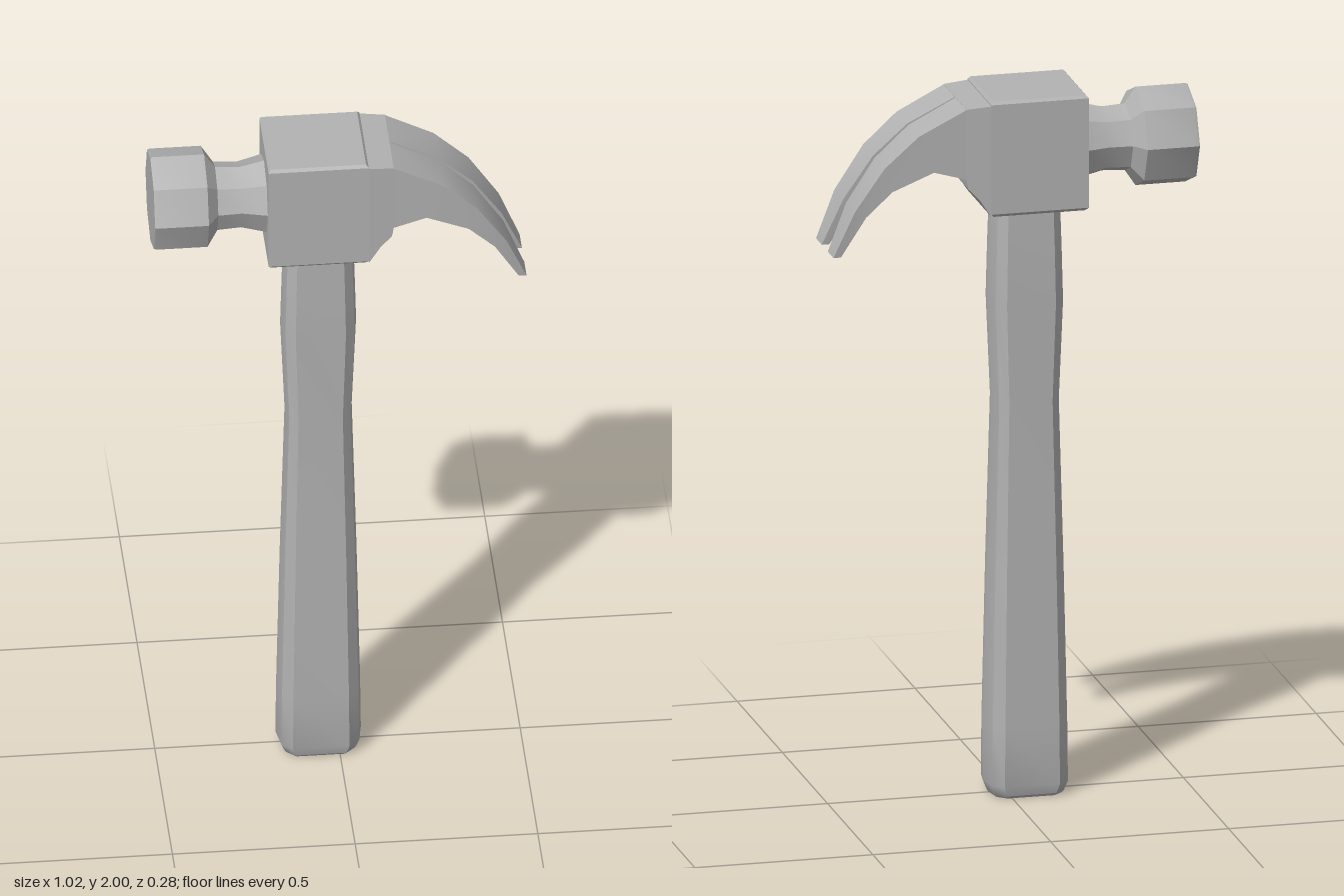
import * as THREE from 'three';
import { toCreasedNormals } from 'three/addons/utils/BufferGeometryUtils.js';

const steel = new THREE.MeshStandardMaterial({ color: 0xb2b2b2 });
steel.name = 'grey';

// Skin a row of closed rings and cap both ends; faces always end up pointing outwards.
function loft(rings, crease) {
  const tris = [];
  const n = rings[0].length;
  for (let i = 0; i < rings.length - 1; i++) {
    for (let j = 0; j < n; j++) {
      const k = (j + 1) % n;
      const [a, b, c, d] = [rings[i][j], rings[i][k], rings[i + 1][k], rings[i + 1][j]];
      tris.push([a, b, c], [a, c, d]);
    }
  }
  const last = rings[rings.length - 1];
  for (let j = 1; j < n - 1; j++) {
    tris.push([rings[0][0], rings[0][j + 1], rings[0][j]], [last[0], last[j], last[j + 1]]);
  }
  let volume = 0;
  for (const [a, b, c] of tris) volume += a.dot(b.clone().cross(c));
  if (volume < 0) tris.forEach((t) => t.reverse());
  const geometry = new THREE.BufferGeometry().setFromPoints(tris.flat());
  geometry.computeVertexNormals();
  return toCreasedNormals(geometry, crease);
}

const v = (x, y, z) => new THREE.Vector3(x, y, z);

export function createModel() {
  const hammer = new THREE.Group();
  hammer.name = 'clawHammer';
  const add = (name, geometry) => {
    const mesh = new THREE.Mesh(geometry, steel);
    mesh.name = name;
    hammer.add(mesh);
  };

  // Handle: faceted oval section, pinched at the waist; [y, half width x, half depth z]
  const section = [
    [1, 0], [0.91, 0.7], [0.66, 1], [-0.66, 1], [-0.91, 0.7],
    [-1, 0], [-0.91, -0.7], [-0.66, -1], [0.66, -1], [0.91, -0.7],
  ];
  const handle = [
    [0, 0.1, 0.075], [0.008, 0.106, 0.082], [0.035, 0.117, 0.09], [0.2, 0.115, 0.09],
    [0.65, 0.105, 0.083], [1.12, 0.092, 0.074], [1.4, 0.104, 0.08], [1.55, 0.1, 0.078], [1.7, 0.095, 0.074],
  ];
  add('handle', loft(handle.map(([y, rx, rz]) =>
    section.map(([sx, sz]) => v(-0.053 + sx * rx, y, sz * rz))), 0.4));

  // Head block with small chamfers along its top and bottom; [y, inset]
  const block = [[1.672, 0.009], [1.681, 0], [1.992, 0], [2, 0.007]];
  add('headBlock', loft(block.map(([y, inset]) => {
    const x0 = -0.201 + inset, x1 = 0.073 - inset, z = 0.132 - inset;
    return [v(x0, y, -z), v(x1, y, -z), v(x1, y, z), v(x0, y, z)];
  }), 0.3));

  // Octagonal neck and striking face; [x, radius]
  const poll = [
    [-0.512, 0.137], [-0.505, 0.14], [-0.365, 0.14], [-0.335, 0.095],
    [-0.27, 0.091], [-0.198, 0.109],
  ];
  add('neckAndStrikingFace', loft(poll.map(([x, r]) =>
    Array.from({ length: 8 }, (_, i) => {
      const a = (i * Math.PI) / 4;
      return v(x, 1.835 + r * Math.cos(a), r * Math.sin(a));
    })), 0.45));

  // Solid root of the claw, tapering slightly away from the block
  const profile = [
    [0.07, 1.989], [0.142, 1.983], [0.142, 1.785], [0.137, 1.757], [0.106, 1.725], [0.074, 1.676],
  ];
  add('clawRoot', loft([-1, 1].map((side) =>
    profile.map(([x, y]) => v(x, y, side * (0.132 - (x - 0.07) * 0.07)))), 0.3));

  // Two curved prongs; [top x, top y, bottom x, bottom y, inner z, outer z]
  const claw = [
    [0.14, 1.983, 0.14, 1.784, 0.003, 0.127],
    [0.275, 1.915, 0.232, 1.81, 0.006, 0.124],
    [0.37, 1.83, 0.348, 1.762, 0.01, 0.12],
    [0.452, 1.71, 0.42, 1.693, 0.016, 0.113],
    [0.508, 1.58, 0.487, 1.58, 0.033, 0.097],
  ];
  for (const side of [1, -1]) {
    add(side > 0 ? 'frontProng' : 'backProng', loft(claw.map(([tx, ty, bx, by, zi, zo]) => [
      v(tx, ty, side * zi), v(tx, ty, side * zo), v(bx, by, side * zo), v(bx, by, side * zi),
    ]), 0.5));
  }

  return hammer;
}
